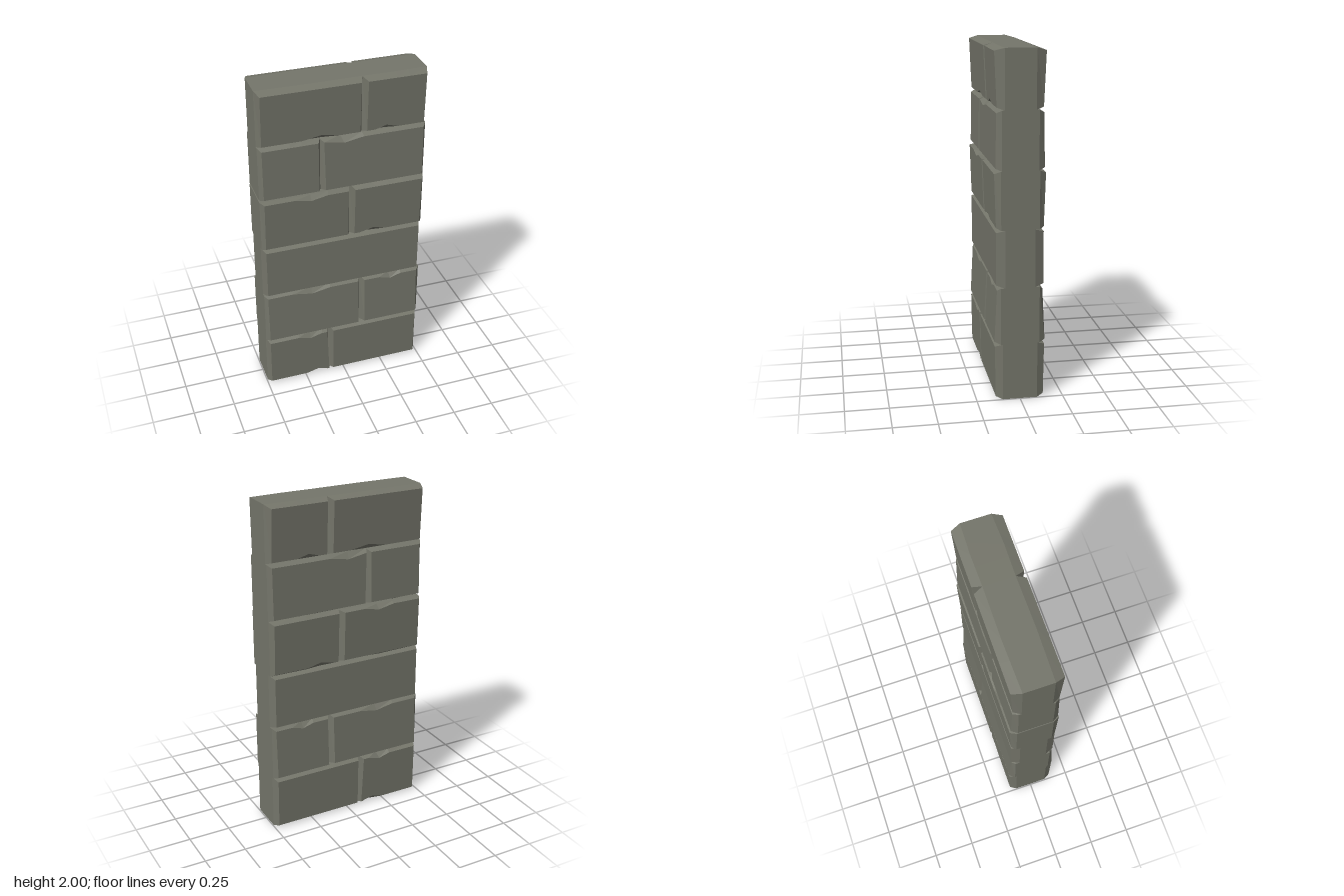
import * as THREE from 'three';

const { lerp } = THREE.MathUtils;
const material = new THREE.MeshStandardMaterial({ color: 0x74756a, flatShading: true, roughness: 0.9 });
const HALF = 0.495, COURSE = 1 / 3, CHIP = 0.02;

// Courses from the bottom up: joint position, half depth of the face at bottom and top,
// and where the lower (bump) or upper (dip) face edges of the two stones are chipped.
const courses = [
  { joint: -0.09, low: 0.138, high: 0.143, bump: [-0.17], dip: [-0.22] },
  { joint: 0.115, low: 0.145, high: 0.13, dip: [-0.2, 0.3] },
  { joint: -0.145, low: 0.135, high: 0.135, gap: 0 },
  { joint: 0.045, low: 0.135, high: 0.145, bump: [null, 0.18], dip: [-0.2], sag: 0.012 },
  { joint: -0.13, low: 0.138, high: 0.132, dip: [null, 0] },
  { joint: 0.115, low: 0.13, high: 0.143, bump: [-0.13, 0.25] },
];

// Chamfered stone built from outline rings along z: back face, back shoulder, front shoulder, front face
function stone({ x, y, fx, fy, bump, dip, low, high, shoulder }) {
  const outer = [], face = [];
  const addEdge = (level, chipX, sign) => {
    const chipped = typeof chipX === 'number';
    const middle = chipped ? chipX : (fx[0] + fx[1]) / 2;
    const spread = (fx[1] - fx[0]) * 0.2;
    const xs = [fx[0], middle - spread, middle, middle + spread, fx[1]];
    if (level) xs.reverse();
    xs.forEach((px, i) => {
      const t = (px - fx[0]) / (fx[1] - fx[0]);
      const py = fy[level] + (chipped && i === 2 ? sign * CHIP : 0);
      const depth = t < 0.5 ? lerp(shoulder[0], shoulder[1], t * 2) : lerp(shoulder[1], shoulder[2], t * 2 - 1);
      face.push([px, py, lerp(low, high, (py - fy[0]) / (fy[1] - fy[0]))]);
      outer.push([lerp(x[0], x[1], t), y[level], depth]);
    });
  };
  addEdge(0, bump, 1);
  addEdge(1, dip, -1);

  const mirror = ([px, py, pz]) => [px, py, -pz];
  const rings = [face.map(mirror), outer.map(mirror), outer, face];
  const n = face.length, index = [];
  for (let k = 0; k < 3; k++) {
    for (let i = 0; i < n; i++) {
      const a = k * n + i, b = k * n + (i + 1) % n;
      index.push(a, b, b + n, a, b + n, a + n);
    }
  }
  // Front and back faces as strips between the lower and upper edges
  for (let i = 0; i < n / 2 - 1; i++) {
    const a = i, b = i + 1, c = n - 2 - i, d = n - 1 - i, f = 3 * n;
    index.push(a + f, b + f, c + f, a + f, c + f, d + f, c, b, a, d, c, a);
  }
  const indexed = new THREE.BufferGeometry();
  indexed.setAttribute('position', new THREE.Float32BufferAttribute(rings.flat(2), 3));
  indexed.setIndex(index);
  const geometry = indexed.toNonIndexed();
  geometry.computeVertexNormals();
  return geometry;
}

export function createModel() {
  const wall = new THREE.Group();
  wall.name = 'stoneWall';
  courses.forEach(({ joint, low, high, bump = [], dip = [], gap = 0.02, sag = 0 }, row) => {
    const course = new THREE.Group();
    course.name = `course${row + 1}`;
    const bottom = row * COURSE, top = bottom + COURSE;
    const end = 0.1 + 0.015 * Math.sin(row * 2.3);
    const middle = 0.105 + 0.012 * Math.cos(row * 1.9);
    ['rightStone', 'leftStone'].forEach((name, i) => {
      const stoneTop = i ? top : top - sag;
      const mesh = new THREE.Mesh(stone({
        x: i ? [joint, HALF] : [-HALF, joint],
        y: [bottom, stoneTop],
        fx: i ? [joint + gap, HALF - 0.02] : [-HALF + 0.02, joint - gap],
        fy: [bottom + 0.014, stoneTop - (sag && !i ? 0.005 : 0.016)],
        bump: bump[i], dip: dip[i], low, high,
        shoulder: i ? [0.09, middle, end] : [end, middle, 0.09],
      }), material);
      mesh.name = name;
      course.add(mesh);
    });
    wall.add(course);
  });
  return wall;
}
